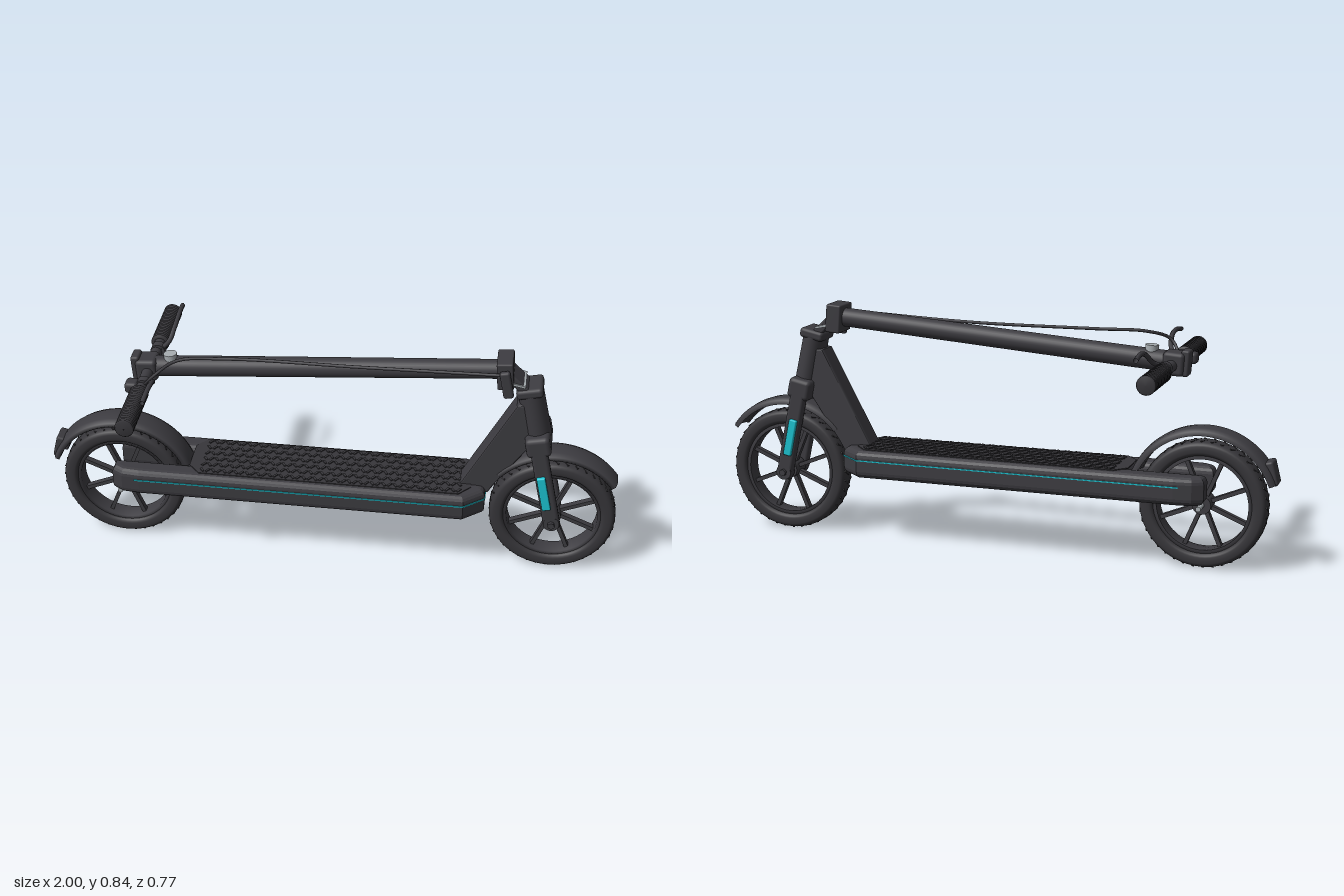
import * as THREE from 'three';
import { mergeGeometries } from 'three/addons/utils/BufferGeometryUtils.js';
import { RoundedBoxGeometry } from 'three/addons/geometries/RoundedBoxGeometry.js';

const mat = (name, color, side = THREE.FrontSide) => {
  const m = new THREE.MeshStandardMaterial({ color, side });
  m.name = name;
  return m;
};
const V = (x, y, z) => new THREE.Vector3(x, y, z);

export function createModel() {
  const body = mat('charcoal body', 0x3d3c41);
  const shell = mat('charcoal shell', 0x3d3c41, THREE.DoubleSide);
  const rubber = mat('rubber', 0x37363a);
  const tread = mat('dark tread', 0x2b2a2d);
  const teal = mat('teal accent', 0x1cc4d2);
  const silver = mat('silver', 0xa6acb0);

  const root = new THREE.Group();
  root.name = 'foldedScooter';

  const add = (parent, name, geo, material, x = 0, y = 0, z = 0, rz = 0) => {
    const m = new THREE.Mesh(geo, material);
    m.name = name;
    m.position.set(x, y, z);
    m.rotation.z = rz;
    parent.add(m);
    return m;
  };
  const group = (name, x = 0, y = 0, rz = 0) => {
    const g = new THREE.Group();
    g.name = name;
    g.position.set(x, y, 0);
    g.rotation.z = rz;
    root.add(g);
    return g;
  };
  const rbox = (w, h, d, r = 0.01) => new RoundedBoxGeometry(w, h, d, 2, r);
  const axial = (r, len, n = 24) => new THREE.CylinderGeometry(r, r, len, n).rotateX(Math.PI / 2);
  const tube = (pts, r, n = 40) => new THREE.TubeGeometry(new THREE.CatmullRomCurve3(pts), n, r, 8);
  // Closed or open (radius, z) profile swept around the z axis
  const sweep = (pts, n, from = 0, to = Math.PI * 2) =>
    new THREE.LatheGeometry(pts.map(p => new THREE.Vector2(p[0], p[1])), n, from + Math.PI / 2, to - from)
      .rotateX(Math.PI / 2);

  // Wheels: tyre, rim, eight spokes, hub and chevron tread
  const tyreProfile = [];
  for (let i = 0; i <= 28; i++) {
    const a = (i / 28) * Math.PI * 2, c = Math.cos(a), s = Math.sin(a);
    tyreProfile.push([0.193 + 0.027 * Math.sign(c) * Math.abs(c) ** 0.65, 0.042 * Math.sign(s) * Math.abs(s) ** 0.65]);
  }
  const spokes = [], chevrons = [];
  for (let i = 0; i < 8; i++) {
    spokes.push(new THREE.BoxGeometry(0.145, 0.014, 0.022).translate(0.095, 0, 0).rotateZ((i + 0.5) * Math.PI / 4));
  }
  for (let i = 0; i < 40; i++) {
    for (const s of [-1, 1]) {
      chevrons.push(new THREE.BoxGeometry(0.005, 0.006, 0.032).rotateX(s * 0.6)
        .translate(0.2175, 0, s * 0.014).rotateZ(i * Math.PI / 20));
    }
  }
  const tyreGeo = sweep(tyreProfile, 64), spokeGeo = mergeGeometries(spokes), chevronGeo = mergeGeometries(chevrons);
  const rimGeo = sweep([[0.158, -0.03], [0.178, -0.03], [0.178, 0.03], [0.158, 0.03], [0.158, -0.03]], 48);
  for (const [name, x] of [['rearWheel', -0.75], ['frontWheel', 0.775]]) {
    const w = group(name, x, 0.22);
    add(w, 'tyre', tyreGeo, rubber);
    add(w, 'tread', chevronGeo, tread);
    add(w, 'rim', rimGeo, body);
    add(w, 'spokes', spokeGeo, body);
    add(w, 'hub', axial(0.032, 0.075), body);
    add(w, 'axle', axial(0.009, 0.182, 12), silver);
  }

  // Fenders arching over both wheels
  const fenderProfile = [[0.242, -0.05], [0.257, -0.05], [0.265, -0.03], [0.267, 0],
    [0.265, 0.03], [0.257, 0.05], [0.242, 0.05], [0.25, 0.03], [0.252, 0], [0.25, -0.03], [0.242, -0.05]];
  const deg = Math.PI / 180;
  add(root, 'rearFender', sweep(fenderProfile, 40, 22 * deg, 160 * deg), shell, -0.75, 0.22);
  add(root, 'frontFender', sweep(fenderProfile.map(([r, z]) => [r, z * 0.92]), 32, 36 * deg, 140 * deg), shell, 0.775, 0.22);
  add(root, 'tailLight', rbox(0.03, 0.085, 0.07, 0.008), body, -0.98, 0.345, 0, -0.25);
  add(root, 'tailBracket', rbox(0.035, 0.04, 0.05, 0.008), body, -0.962, 0.35, 0, -0.3);

  // Deck with two arms reaching back around the rear wheel
  const deckShape = (rear, slot) => {
    const half = [[-0.475, slot], [rear, slot], [rear, 0.088], [Math.max(rear, -0.725), 0.1],
      [Math.max(rear, -0.67), 0.105], [0.46, 0.105], [0.515, 0.06]];
    const mirrored = half.map(([x, z]) => [x, -z]).reverse();
    return new THREE.Shape([...half, ...mirrored].map(p => new THREE.Vector2(...p)));
  };
  const slab = (shape, depth, bevel, size, segs) => new THREE.ExtrudeGeometry(shape, {
    depth, bevelEnabled: true, bevelThickness: bevel, bevelSize: size, bevelSegments: segs
  }).rotateX(-Math.PI / 2);
  add(root, 'deck', slab(deckShape(-0.745, 0.073), 0.05, 0.025, 0.025, 4), body, 0, 0.258);
  add(root, 'deckStripe', slab(deckShape(-0.66, 0.085), 0.004, 0.001, 0.0275, 1), teal, 0, 0.297);

  // Footboard mat with small raised grips
  const matShape = new THREE.Shape([[-0.5, 0.06], [-0.46, 0.105], [0.45, 0.105], [0.49, 0.06],
    [0.49, -0.06], [0.45, -0.105], [-0.46, -0.105], [-0.5, -0.06]].map(p => new THREE.Vector2(...p)));
  add(root, 'footMat', new THREE.ExtrudeGeometry(matShape, { depth: 0.004, bevelEnabled: false })
    .rotateX(-Math.PI / 2), rubber, 0, 0.332);
  const bumps = [];
  for (let i = 0; i < 46; i++) {
    for (let j = 0; j < 6; j++) {
      const z = -0.0875 + j * 0.035;
      bumps.push(new THREE.BoxGeometry(0.008, 0.005, 0.02).rotateY((i + j) % 2 ? 0.6 : -0.6)
        .translate(-0.45 + i * 0.02, 0.337, z));
    }
  }
  add(root, 'matGrips', mergeGeometries(bumps), rubber);

  // Neck joining deck and head tube
  const neck = new THREE.Shape([[0.45, 0.325], [0.545, 0.31], [0.565, 0.345], [0.69, 0.53], [0.66, 0.67], [0.632, 0.665]]
    .map(p => new THREE.Vector2(...p)));
  add(root, 'neck', new THREE.ExtrudeGeometry(neck, {
    depth: 0.066, bevelEnabled: true, bevelThickness: 0.01, bevelSize: 0.006, bevelSegments: 3
  }).translate(0, 0, -0.033), body);

  // Raked fork, crown and head tube
  const fork = group('fork', 0.775, 0.22, 0.21);
  add(fork, 'headTube', new THREE.CylinderGeometry(0.044, 0.046, 0.2, 32).scale(1, 1, 1.2), body, 0, 0.425);
  add(fork, 'headCap', rbox(0.09, 0.035, 0.108, 0.012), body, 0, 0.515);
  add(fork, 'crown', rbox(0.085, 0.075, 0.166, 0.016), body, 0, 0.315);
  for (const s of [-1, 1]) {
    add(fork, 'forkLeg', rbox(0.058, 0.34, 0.036, 0.012), body, 0, 0.145, s * 0.065);
    add(fork, 'dropout', axial(0.028, 0.036), body, 0, 0, s * 0.065);
    add(fork, 'forkAccent', rbox(0.03, 0.135, 0.016, 0.005), teal, -0.006, 0.137, s * 0.09);
    add(fork, 'axleNut', axial(0.013, 0.014, 6), body, 0, 0, s * 0.088);
  }

  // Folding hinge above the head tube
  add(root, 'hingeBlock', rbox(0.055, 0.1, 0.104, 0.006), body, 0.583, 0.785, 0, 0.08);
  add(root, 'hingeLink', rbox(0.095, 0.03, 0.09, 0.006), body, 0.632, 0.748, 0, -0.75);
  add(root, 'hingePlate', new THREE.BoxGeometry(0.05, 0.008, 0.1), silver, 0.628, 0.755, 0, -0.2);
  add(root, 'hingeLatch', rbox(0.035, 0.1, 0.022, 0.008), body, 0.59, 0.765, 0.063, 0.2);

  // Folded stem lying over the deck
  const a = V(-0.64, 0.697, 0), b = V(0.57, 0.787, 0), d = b.clone().sub(a);
  const tilt = Math.atan2(d.y, d.x), mid = a.clone().add(b).multiplyScalar(0.5);
  add(root, 'stem', new THREE.CylinderGeometry(0.033, 0.036, d.length(), 32), body, mid.x, mid.y, 0, tilt - Math.PI / 2);
  add(root, 'foldHook', new THREE.CylinderGeometry(0.023, 0.023, 0.025, 20), silver, -0.56, 0.74, 0, tilt);
  add(root, 'stemClamp', rbox(0.075, 0.08, 0.08, 0.014), body, -0.64, 0.695, 0, tilt);
  add(root, 'display', rbox(0.03, 0.09, 0.06, 0.008), body, -0.678, 0.698, 0, tilt);

  // Handlebar, ribbed grips and brake levers
  add(root, 'handlebar', axial(0.02, 0.7), body, -0.635, 0.69);
  const gripProfile = [[0.02, 0.16]];
  for (let i = 0; i < 22; i++) gripProfile.push([0.029, 0.16 + i * 0.0102], [0.0325, 0.166 + i * 0.0102]);
  gripProfile.push([0.028, 0.386], [0.001, 0.387]);
  const gripGeo = sweep(gripProfile, 28);
  for (const s of [-1, 1]) {
    const grip = add(root, 'grip', gripGeo, rubber, -0.635, 0.69);
    if (s < 0) grip.rotation.y = Math.PI;
    add(root, 'brakeLever', tube([V(-0.62, 0.7, 0.105 * s), V(-0.595, 0.718, 0.135 * s), V(-0.585, 0.746, 0.175 * s),
      V(-0.582, 0.76, 0.22 * s), V(-0.583, 0.762, 0.27 * s), V(-0.585, 0.755, 0.323 * s)], 0.0085), shell);
    add(root, 'leverClamp', axial(0.026, 0.03), body, -0.63, 0.692, 0.115 * s);
  }
  add(root, 'throttle', rbox(0.045, 0.04, 0.05, 0.012), body, -0.668, 0.692, 0.125);

  // Brake cable from bar to hinge
  add(root, 'cable', tube([V(0.585, 0.8, 0.062), V(0.1, 0.784, 0.05), V(-0.35, 0.784, 0.06), V(-0.52, 0.78, 0.09),
    V(-0.59, 0.748, 0.15), V(-0.625, 0.7, 0.125)], 0.0055, 60), shell);

  return root;
}
